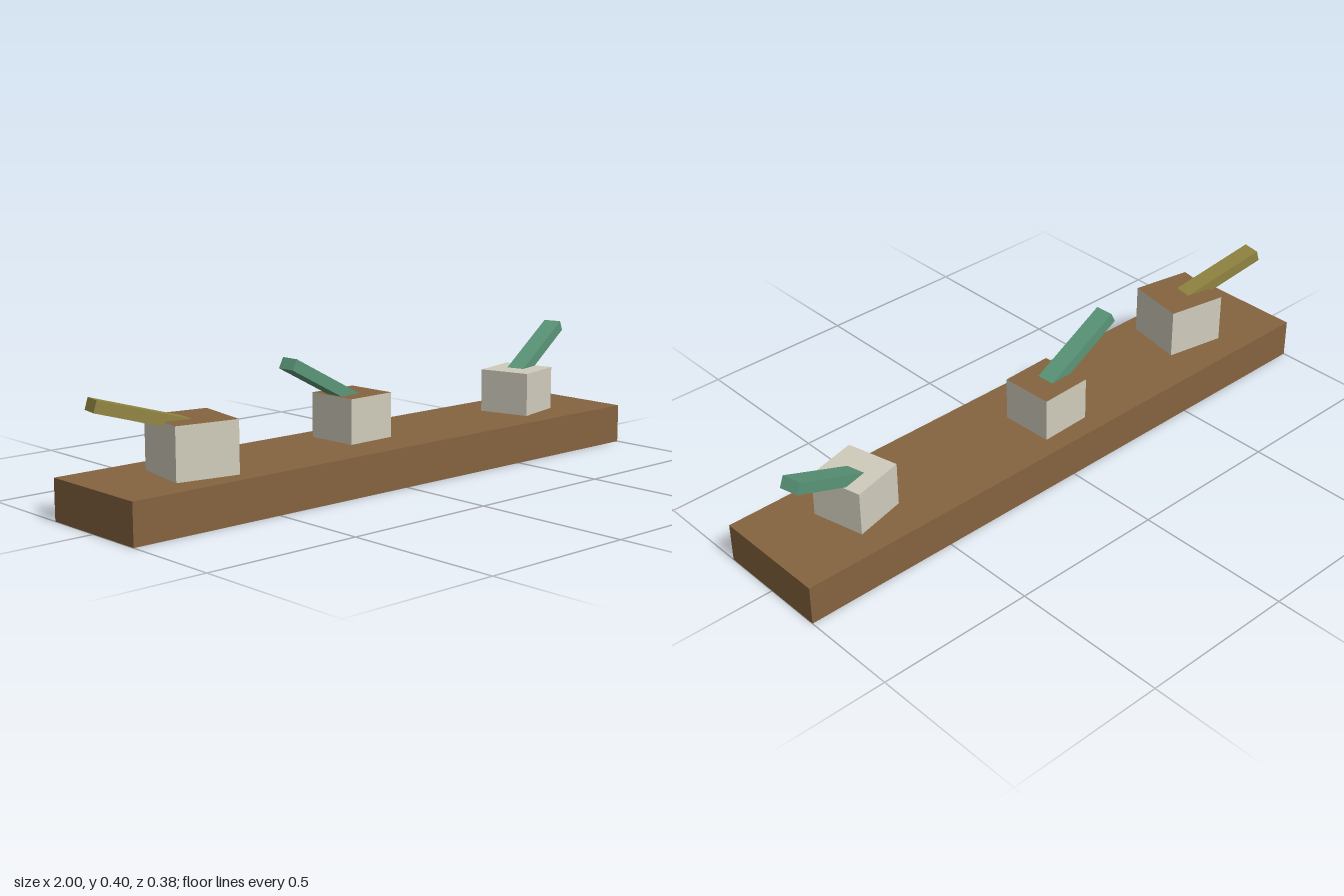
import * as THREE from 'three';

const rad = THREE.MathUtils.degToRad;

function material(name, color, side = THREE.FrontSide) {
  const m = new THREE.MeshStandardMaterial({ color, side });
  m.name = name;
  return m;
}

export function createModel() {
  const model = new THREE.Group();
  model.name = 'leverBoard';
  const wood = material('brown wood', 0x85633f, THREE.DoubleSide);
  const stone = material('pale beige', 0xd0ccbc);
  const green = material('sea green', 0x5a9678);
  const olive = material('olive', 0x918541);

  // Hollow base: a box with its underside left open
  const baseHeight = 0.125;
  const baseGeo = new THREE.BoxGeometry(2, baseHeight, 0.375);
  const index = Array.from(baseGeo.index.array);
  index.splice(18, 6);
  baseGeo.setIndex(index);
  baseGeo.clearGroups();
  const base = new THREE.Mesh(baseGeo, wood);
  base.name = 'base';
  base.position.y = baseHeight / 2;
  model.add(base);

  // Each lever: a turned block and a sloping handle; tip is the top middle of the handle's free end
  const levers = [
    { name: 'right', x: -0.678, z: 0.0185, size: 0.196, top: 0.283, yaw: -10.4, cap: wood,
      tip: [-0.966, 0.363, -0.037], slope: 15.9, dir: -1, color: olive },
    { name: 'middle', x: -0.022, z: -0.0375, size: 0.171, top: 0.265, yaw: 2, cap: wood,
      tip: [-0.278, 0.4, -0.028], slope: 27.5, dir: -1, color: green },
    { name: 'left', x: 0.689, z: 0.001, size: 0.171, top: 0.265, yaw: 13.6, cap: stone,
      tip: [0.941, 0.396, -0.064], slope: 26.5, dir: 1, color: green },
  ];
  const thick = 0.036, width = 0.06;

  for (const l of levers) {
    const height = l.top - baseHeight;
    const block = new THREE.Mesh(
      new THREE.BoxGeometry(l.size, height, l.size),
      [stone, stone, l.cap, stone, stone, stone]
    );
    block.name = l.name + 'Block';
    block.position.set(l.x, baseHeight + height / 2, l.z);
    block.rotation.y = rad(l.yaw);
    model.add(block);

    // Handle runs down from the tip and sinks a little into the block
    const length = (l.tip[1] - l.top) / Math.sin(rad(l.slope)) + 0.02;
    const handleGeo = new THREE.BoxGeometry(length, thick, width);
    handleGeo.translate(-l.dir * length / 2, -thick / 2, 0);
    const handle = new THREE.Mesh(handleGeo, l.color);
    handle.name = l.name + 'Handle';
    handle.position.set(...l.tip);
    handle.rotation.set(0, rad(l.yaw), l.dir * rad(l.slope));
    model.add(handle);
  }
  return model;
}
